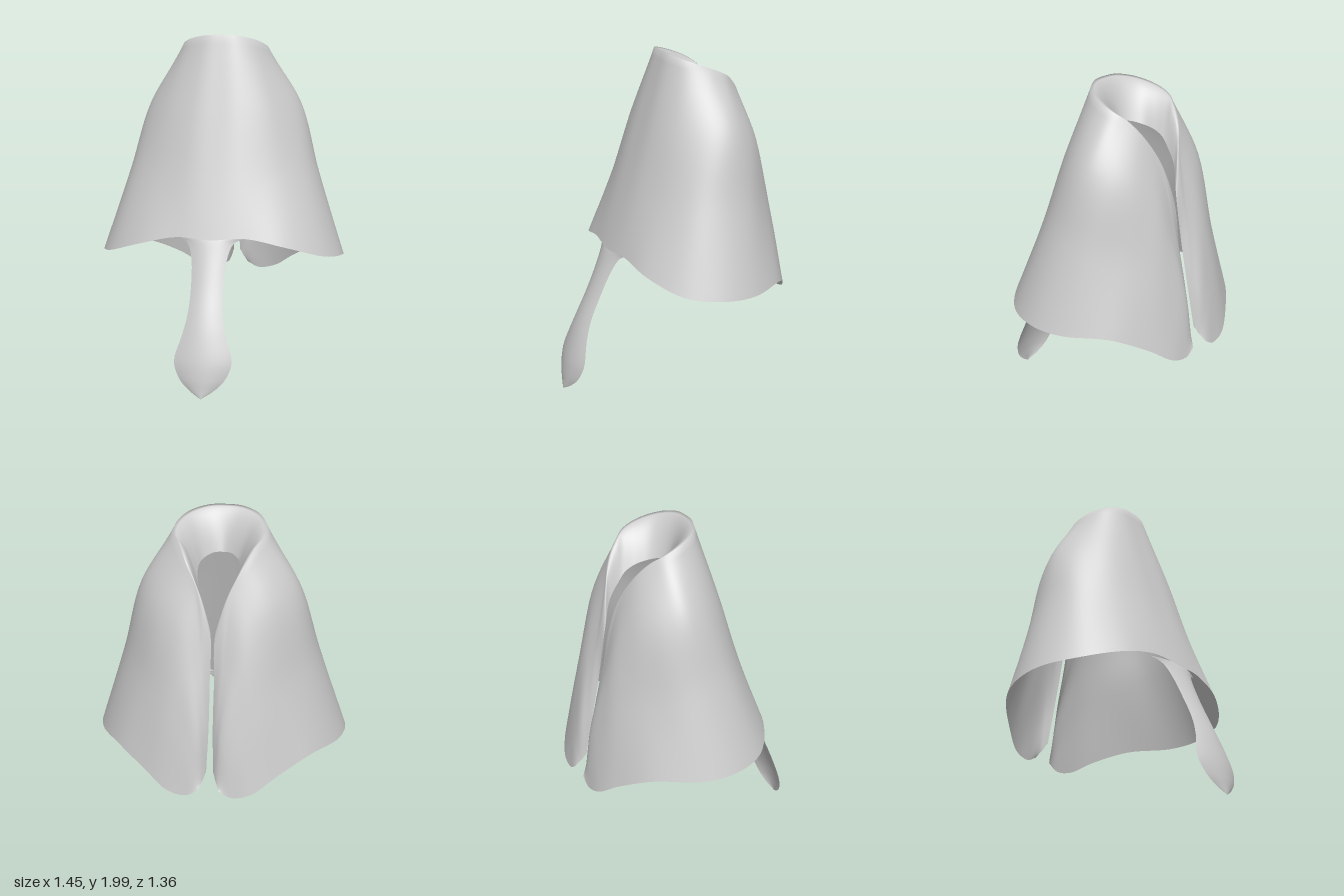
import * as THREE from 'three';

const V = (x, y, z) => new THREE.Vector3(x, y, z);

// Smooth open sheet from a point rule f(i, j): i runs left to right, j runs downward
function sheet(nu, nv, f, material, name) {
  const pos = [], idx = [];
  for (let i = 0; i <= nu; i++)
    for (let j = 0; j <= nv; j++) pos.push(...f(i, j).toArray());
  for (let i = 0; i < nu; i++)
    for (let j = 0; j < nv; j++) {
      const a = i * (nv + 1) + j, b = a + nv + 1;
      idx.push(a, a + 1, b, b, a + 1, b + 1);
    }
  const g = new THREE.BufferGeometry();
  g.setAttribute('position', new THREE.Float32BufferAttribute(pos, 3));
  g.setIndex(idx);
  g.computeVertexNormals();
  const mesh = new THREE.Mesh(g, material);
  mesh.name = name;
  return mesh;
}

// Guide lines of one half, from the front centre round to the back slit
const half = {
  inner: [[0, 1.75, -.09], [.05, 1.75, -.11], [.1, 1.73, -.17], [.115, 1.71, -.24], [.113, 1.68, -.3],
    [.1, 1.63, -.35], [.07, 1.55, -.42], [.015, 1.4, -.48], [.012, 1.1, -.53], [.012, .85, -.58], [.02, .62, -.62]],
  ridge: [[0, 2, .03], [.1, 1.995, .02], [.2, 1.97, -.04], [.255, 1.93, -.15], [.255, 1.89, -.24],
    [.22, 1.85, -.3], [.17, 1.76, -.375], [.1, 1.6, -.44], [.06, 1.2, -.535], [.035, .88, -.595], [.025, .61, -.63]],
  shoulder: [[0, 1.6, .15], [.14, 1.6, .14], [.3, 1.6, .07], [.42, 1.6, -.07], [.45, 1.6, -.2],
    [.41, 1.55, -.32], [.32, 1.5, -.42], [.2, 1.4, -.495], [.12, 1.15, -.56], [.06, .85, -.62], [.035, .58, -.645]],
  waist: [[0, 1.2, .27], [.17, 1.2, .255], [.38, 1.2, .17], [.52, 1.2, .04], [.565, 1.2, -.12],
    [.54, 1.15, -.28], [.42, 1.1, -.44], [.28, 1, -.56], [.17, .85, -.62], [.1, .68, -.655], [.045, .56, -.66]],
  hem: [[0, .85, .38], [.2, .86, .36], [.42, .81, .32], [.63, .74, .18], [.72, .715, -.03],
    [.695, .7, -.23], [.55, .69, -.46], [.37, .6, -.6], [.24, .515, -.665], [.13, .495, -.68], [.06, .53, -.68]],
};

// Mirror a half guide into one full curve, open at the back
function fullCurve(points) {
  const right = points.map(p => V(...p));
  const left = points.slice(1).reverse().map(([x, y, z]) => V(-x, y, z));
  return new THREE.CatmullRomCurve3([...left, ...right]);
}

export function createModel() {
  const group = new THREE.Group();
  const grey = new THREE.MeshStandardMaterial({ color: 0xcccccc, side: THREE.DoubleSide });
  grey.name = 'light grey';

  // Draped shell: a collar curled inward, then the flared body down to the hem
  const guides = Object.values(half).map(fullCurve);
  const NU = 120, LIP = 8, BODY = 24;
  const columns = [];
  for (let i = 0; i <= NU; i++) {
    const [inner, ridge, shoulder, waist, hem] = guides.map(c => c.getPoint(i / NU));
    const bend = inner.clone().lerp(ridge, .55);
    bend.y = THREE.MathUtils.lerp(inner.y, ridge.y, .9);
    const lip = new THREE.QuadraticBezierCurve3(inner, bend, ridge).getPoints(LIP);
    const body = new THREE.CatmullRomCurve3([ridge, shoulder, waist, hem]).getPoints(BODY);
    columns.push([...lip, ...body.slice(1)]);
  }
  group.add(sheet(NU, LIP + BODY, (i, j) => columns[i][j], grey, 'drapedShell'));

  // Front strap: rows of half width, height and depth, with the sides bowed back
  const edge = new THREE.CatmullRomCurve3([[.2, .86, .375], [.135, .83, .39], [.105, .76, .42], [.092, .6, .49],
    [.1, .45, .56], [.125, .34, .605], [.163, .2, .65], [.13, .11, .668], [.07, .05, .675], [.002, .008, .68]]
    .map(p => V(...p)));
  const rows = edge.getPoints(45);
  const strap = (i, j) => {
    const s = i / 6 - 1, { x: w, y, z } = rows[j];
    return V(s * w, y, z - s * s * w * .25);
  };
  group.add(sheet(12, 45, strap, grey, 'frontStrap'));
  return group;
}
